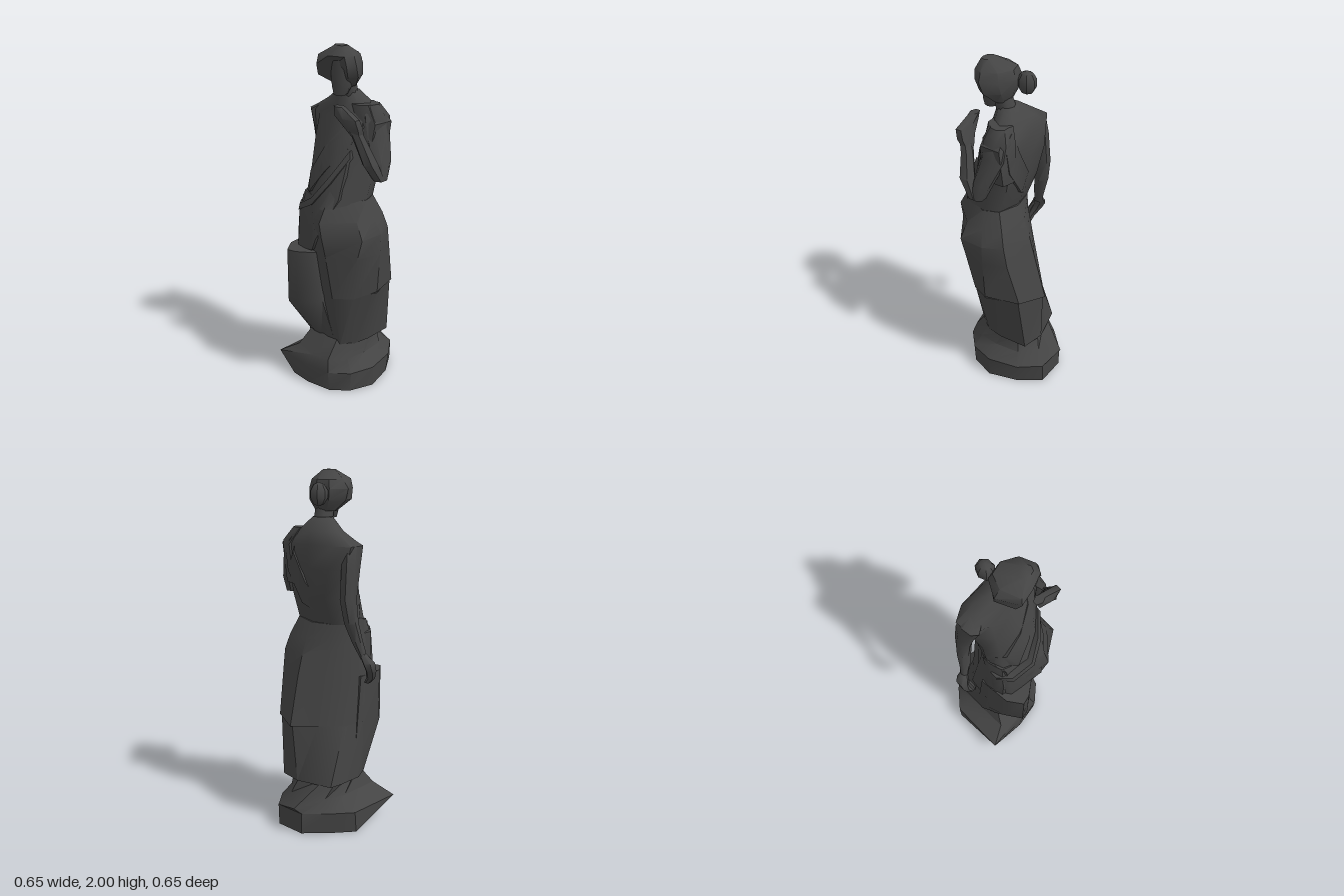
import * as THREE from 'three';
import { toCreasedNormals } from 'three/addons/utils/BufferGeometryUtils.js';

const stone = new THREE.MeshStandardMaterial({ color: 0x444444, side: THREE.DoubleSide });
stone.name = 'dark stone';

// Skin closed rings of [x, y, z] points, counter-clockwise about the loft direction.
function loft(rings, crease = 0.7, hollow = false) {
  const n = rings[0].length, last = rings.length - 1, pos = rings.flat(2), idx = [];
  for (let r = 0; r < last; r++) {
    for (let i = 0; i < n; i++) {
      const a = r * n + i, b = r * n + (i + 1) % n;
      idx.push(a, b, b + n, a, b + n, a + n);
    }
  }
  // end caps, fanned from the ring centres; a hollow loft has no first cap
  for (const r of hollow ? [last] : [0, last]) {
    const c = pos.length / 3;
    for (let k = 0; k < 3; k++) pos.push(rings[r].reduce((s, p) => s + p[k], 0) / n);
    for (let i = 0; i < n; i++) {
      const a = r * n + i, b = r * n + (i + 1) % n;
      idx.push(c, r ? a : b, r ? b : a);
    }
  }
  const g = new THREE.BufferGeometry();
  g.setAttribute('position', new THREE.Float32BufferAttribute(pos, 3));
  g.setIndex(idx);
  return toCreasedNormals(g, crease);
}

// Level ring from [x, z, optional lift] points, front first, then towards +x.
const level = (y, ...pts) => pts.map(([x, z, dy = 0]) => [x, y + dy, z]);

// Limb from rows of [y, centre x, centre z, radius x, radius z], lowest first.
const limb = (rows, n = 7) => loft(rows.map(([y, cx, cz, rx, rz]) =>
  Array.from({ length: n }, (_, i) => {
    const a = (i / n) * Math.PI * 2;
    return [cx + Math.sin(a) * rx, y, cz + Math.cos(a) * rz];
  })), 0.9);

// Cloth strip from rows of [x, y, z] upper and lower edge, running towards +x.
const strip = (rows, depth) => loft(rows.map(([[ux, uy, uz], [lx, ly, lz]]) =>
  [[ux, uy, uz - depth], [ux, uy, uz], [lx, ly, lz], [lx, ly, lz - depth]]), 0.9);

export function createModel() {
  const model = new THREE.Group();
  model.name = 'statue';
  const add = (name, geometry) => {
    const mesh = new THREE.Mesh(geometry, stone);
    mesh.name = name;
    model.add(mesh);
    return mesh;
  };

  // Rough hollow plinth with a jutting front corner
  add('plinth', loft([
    level(0, [-.05, .25], [.1, .22], [.19, .14], [.24, 0], [.19, -.17], [.1, -.3], [-.08, -.3], [-.2, -.18], [-.29, -.07], [-.18, .245]),
    level(.12, [-.05, .255], [.1, .23], [.2, .14], [.24, 0], [.2, -.18], [.105, -.3], [-.085, -.3], [-.2, -.19], [-.29, -.08], [-.29, .26]),
    level(.19, [-.03, .235], [.08, .21], [.15, .12], [.165, 0], [.15, -.15], [.06, -.24], [-.05, -.328, -.04], [-.15, -.18], [-.19, -.06], [-.18, .2]),
    level(.3, [-.03, .14], [.08, .135], [.14, .06], [.15, -.05], [.13, -.14], [.02, -.2], [-.13, -.16], [-.18, -.1], [-.18, .04], [-.14, .12]),
  ], 0.55, true));

  // Skirt in two layers, the upper one overhanging slightly at the back
  add('lowerSkirt', loft([
    level(.27, [0, .14], [.1, .13], [.15, .06], [.165, -.04], [.157, -.205], [.02, -.23], [-.19, -.175], [-.2, -.1], [-.2, .05], [-.16, .13]),
    level(.62, [0, .19], [.11, .2], [.2, .12], [.262, 0], [.195, -.18], [.04, -.248], [-.07, -.145], [-.178, -.045], [-.198, .08], [-.17, .18]),
  ]));
  add('upperSkirt', loft([
    level(.6, [0, .19], [.11, .2], [.2, .12], [.265, 0, .03], [.2, -.19, .02], [.04, -.262], [-.075, -.155], [-.185, -.05], [-.2, .08], [-.17, .18]),
    level(.87, [0, .23], [.11, .25], [.25, .145], [.283, 0], [.23, -.13], [.05, -.19], [-.07, -.11], [-.175, -.015], [-.195, .1], [-.17, .2]),
    level(.99, [0, .25], [.1, .27], [.285, .145], [.288, 0], [.235, -.11], [.05, -.155], [-.07, -.085], [-.17, 0], [-.19, .1], [-.16, .2]),
    level(1.08, [0, .25], [.1, .285], [.235, .135], [.25, .02], [.215, -.085], [.05, -.12], [-.07, -.065], [-.165, .015], [-.185, .1], [-.16, .19]),
    level(1.18, [0, .215], [.1, .23], [.178, .13], [.215, .04], [.18, -.045], [.05, -.08, -.01], [-.075, -.055, -.01], [-.15, .015], [-.17, .08], [-.14, .165]),
  ]));

  // Heavy hanging fold blending into the front of the skirt
  add('hangingFold', loft([
    level(.28, [-.1, .14], [-.05, .14], [.06, .135], [0, 0], [-.195, 0], [-.17, .125]),
    level(.55, [-.12, .325], [-.065, .31], [.03, .2], [0, 0], [-.2, .03], [-.18, .24]),
    level(.87, [-.12, .325], [-.065, .31], [.02, .245], [0, 0], [-.2, .06], [-.18, .245]),
  ], 1));

  // Torso, waist to collar
  add('torso', loft([
    level(1.14, [0, .23], [.1, .25], [.18, .14], [.21, .05], [.18, -.03], [.04, -.06], [-.08, -.04], [-.145, .02], [-.165, .08], [-.13, .17]),
    level(1.32, [0, .18], [.1, .17], [.18, .11], [.22, 0], [.18, -.09], [.03, -.125], [-.08, -.11], [-.15, -.045], [-.165, .04], [-.12, .13]),
    level(1.48, [0, .14], [.1, .14], [.17, .09], [.215, -.02], [.18, -.12], [.02, -.135], [-.12, -.13], [-.2, -.07], [-.2, .02], [-.12, .1]),
    level(1.61, [0, .08], [.1, .08], [.18, .04], [.24, -.04], [.2, -.12], [.02, -.138], [-.15, -.12], [-.235, -.07], [-.225, .03], [-.12, .065]),
    level(1.68, [.01, .06], [.08, .06], [.13, .02], [.17, -.04], [.13, -.09], [.03, -.11], [-.07, -.1], [-.13, -.06], [-.12, 0], [-.06, .04]),
    level(1.75, [.02, .05], [.05, .05], [.08, .02], [.09, -.02], [.07, -.045], [.03, -.05], [0, -.04], [-.03, -.02], [-.025, .01], [-.01, .03]),
  ], 1));

  // Diagonal wrap at the waist with a thin rolled edge
  add('waistWrap', strip([
    [[-.18, 1.1, .165], [-.185, .86, .16]],
    [[-.13, 1.11, .215], [-.13, .86, .235]],
    [[0, 1.18, .245], [0, .88, .25]],
    [[.09, 1.31, .195], [.06, .97, .278]],
    [[.16, 1.46, .115], [.15, 1.2, .19]],
  ], .05));
  add('waistRoll', strip([
    [[-.18, 1.11, .16], [-.18, 1.08, .165]],
    [[-.12, 1.12, .225], [-.12, 1.085, .235]],
    [[0, 1.19, .25], [.01, 1.155, .26]],
    [[.09, 1.32, .197], [.1, 1.28, .21]],
    [[.16, 1.46, .115], [.17, 1.42, .125]],
  ], .05));
  add('hipTuck', strip([
    [[-.17, 1.2, .09], [-.175, 1.1, .12]],
    [[-.13, 1.16, .19], [-.13, 1.1, .2]],
  ], .05));

  // Flat sash edges running up to the left shoulder, front and back
  add('frontSash', strip([
    [[-.16, 1.24, .085], [-.16, 1.14, .1]],
    [[-.1, 1.3, .16], [-.06, 1.2, .213]],
    [[0, 1.45, .153], [.04, 1.34, .18]],
    [[.1, 1.58, .1], [.14, 1.46, .116]],
    [[.15, 1.67, .02], [.19, 1.58, .05]],
  ], .04));
  add('backSash', strip([
    [[-.06, 1.28, -.06], [-.04, 1.21, -.04]],
    [[.04, 1.4, -.105], [.08, 1.28, -.09]],
    [[.13, 1.56, -.108], [.19, 1.45, -.09]],
    [[.13, 1.67, -.07], [.22, 1.62, -.085]],
  ], .032));

  // Lowered right arm and hand
  add('rightArm', limb([
    [1, -.274, 0, .019, .022], [1.1, -.243, -.025, .032, .032], [1.2, -.222, -.05, .042, .04],
    [1.33, -.208, -.06, .044, .05], [1.5, -.205, -.035, .042, .062], [1.61, -.195, -.01, .044, .07], [1.65, -.14, -.02, .03, .04],
  ]));
  add('rightHand', limb([
    [.85, -.255, .05, .018, .015], [.88, -.28, .05, .025, .022], [.93, -.3, .03, .027, .035],
    [.98, -.3, .01, .031, .042], [1.03, -.267, -.005, .02, .022],
  ], 6));
  add('rightThumb', limb([
    [.88, -.265, .065, .01, .01], [.93, -.27, .055, .014, .014], [.98, -.28, .03, .014, .014],
  ], 5));

  // Raised left arm, with cloth over the shoulder
  add('leftUpperArm', limb([
    [1.31, .285, .01, .04, .04], [1.4, .272, -.01, .045, .06], [1.53, .215, -.04, .042, .08],
    [1.62, .2, -.045, .052, .085], [1.69, .16, -.04, .05, .05],
  ]));
  add('leftForearm', limb([
    [1.31, .29, .03, .038, .03], [1.41, .28, .085, .04, .048], [1.53, .235, .115, .036, .036],
    [1.6, .215, .14, .036, .03], [1.66, .17, .15, .05, .025],
  ], 6));
  add('leftHand', limb([
    [1.55, .22, .12, .035, .03], [1.6, .21, .14, .06, .037], [1.65, .18, .155, .085, .033], [1.7, .12, .15, .035, .025],
  ], 6));
  add('shoulderCloth', loft([
    level(1.38, [.19, .06], [.22, .04], [.22, -.1], [.15, -.12], [.15, .04]),
    level(1.6, [.19, .04], [.25, .02], [.255, -.1], [.16, -.14], [.13, .05]),
    level(1.69, [.15, .04], [.19, .01], [.17, -.08], [.12, -.095], [.1, .04]),
  ]));

  // Neck and face
  add('neck', limb([[1.68, .03, -.01, .065, .055], [1.75, .04, .01, .05, .055], [1.84, .05, .04, .05, .05]], 8));
  add('face', limb([
    [1.74, .06, .085, .035, .035], [1.78, .06, .075, .054, .048], [1.85, .06, .07, .064, .058], [1.93, .06, .075, .064, .06],
  ], 8));

  // Hair swept over the brow, with a knot behind
  add('hair', loft([
    level(1.78, [.04, .045], [.09, .045], [.105, .02], [.08, -.01], [.04, -.02], [0, -.01], [-.03, .02], [-.02, .05]),
    level(1.84, [.05, .08], [.135, .105], [.165, .06], [.12, -.02], [.04, -.045], [-.035, -.03], [-.088, .05], [-.04, .15]),
    level(1.9, [.05, .115], [.145, .125], [.172, .08], [.13, -.01], [.04, -.055], [-.045, -.035], [-.096, .06], [-.025, .175]),
    level(1.95, [.05, .165], [.135, .13], [.155, .08], [.12, 0], [.04, -.04], [-.03, -.02], [-.06, .06], [-.02, .165]),
    level(2, [.08, .12], [.1, .115], [.11, .09], [.1, .07], [.08, .06], [.05, .07], [.03, .09], [.05, .115]),
  ]));
  const bun = add('bun', toCreasedNormals(new THREE.SphereGeometry(1, 7, 5), .7));
  bun.scale.set(.048, .064, .055);
  bun.position.set(-.015, 1.875, -.085);

  return model;
}
